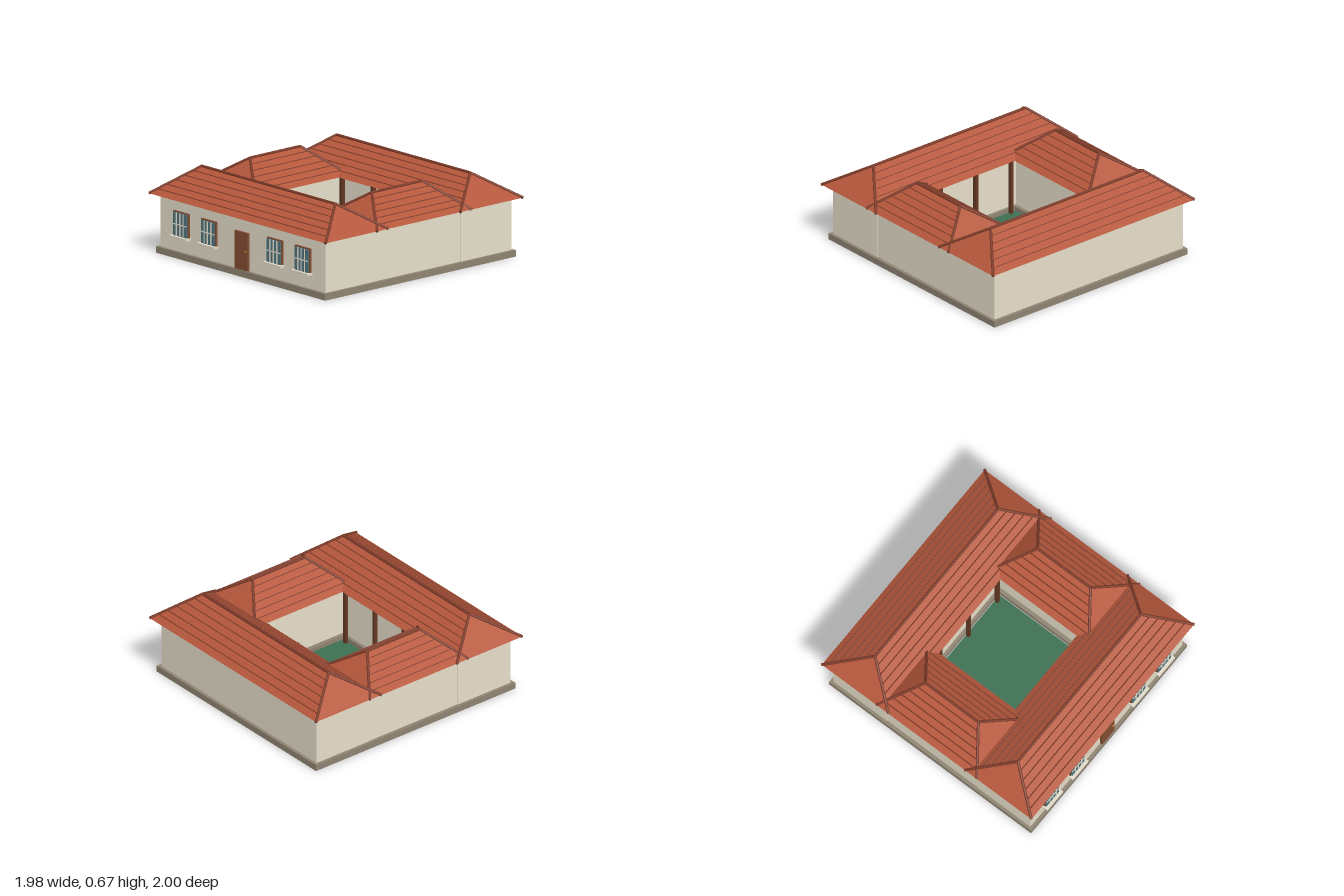
import * as THREE from 'three';

const mat = (name, color) => {
  const m = new THREE.MeshStandardMaterial({ color });
  m.name = name;
  return m;
};

export function createModel() {
  const M = {
    wall: mat('plaster', 0xe8e0cc),
    base: mat('stone', 0x8f8472),
    tile: mat('roof tile', 0xb5573b),
    trim: mat('dark roof trim', 0x7c3a28),
    wood: mat('wood', 0x834e31),
    post: mat('dark wood', 0x633822),
    glass: mat('glass', 0x50757f),
    sill: mat('pale sill', 0xe2dbca),
    grass: mat('grass', 0x3d7053),
    knob: mat('brass', 0xb8702c),
  };
  const model = new THREE.Group();
  model.name = 'courtyardHouse';

  const box = (parent, name, m, w, h, d, x, y, z) => {
    const mesh = new THREE.Mesh(new THREE.BoxGeometry(w, h, d), m);
    mesh.name = name;
    mesh.position.set(x, y, z);
    parent.add(mesh);
  };

  // Trim piece modelled along z, laid between two points and rolled about its axis
  const lay = (parent, name, geometry, a, b, roll = 0) => {
    const mesh = new THREE.Mesh(geometry, M.trim);
    mesh.name = name;
    mesh.position.copy(a).add(b).multiplyScalar(0.5);
    mesh.lookAt(b);
    mesh.rotateZ(roll);
    parent.add(mesh);
  };
  const cap = (parent, name, a, b) =>
    lay(parent, name, new THREE.CylinderGeometry(0.011, 0.011, a.distanceTo(b), 12).rotateX(Math.PI / 2), a, b);

  // Stone base with an opening for the courtyard
  const outline = new THREE.Shape();
  outline.moveTo(-0.938, -0.955).lineTo(0.938, -0.955).lineTo(0.938, 0.955).lineTo(-0.938, 0.955).closePath();
  const opening = new THREE.Path();
  opening.moveTo(-0.405, -0.4).lineTo(-0.405, 0.4).lineTo(0.405, 0.4).lineTo(0.405, -0.4).closePath();
  outline.holes.push(opening);
  const base = new THREE.Mesh(
    new THREE.ExtrudeGeometry(outline, { depth: 0.05, bevelEnabled: false }).rotateX(-Math.PI / 2), M.base);
  base.name = 'base';
  model.add(base);
  box(model, 'courtyardLawn', M.grass, 0.784, 0.012, 0.776, 0, 0.02, 0);

  // Wing walls, the side wings set back a hair so the joints show
  for (const s of [1, -1]) {
    box(model, s > 0 ? 'frontWingWalls' : 'backWingWalls', M.wall, 1.83, 0.41, 0.505, 0, 0.255, s * 0.6775);
    box(model, s > 0 ? 'leftWingWalls' : 'rightWingWalls', M.wall, 0.476, 0.41, 0.85, s * 0.673, 0.255, 0);
  }

  // Hipped roof running along local x, with battens and ridge caps
  const EAVE = 0.455, RIDGE = 0.656;
  const hipRoof = (name, halfLength, halfWidth, halfRidge) => {
    const g = new THREE.Group();
    g.name = name;
    const P = (x, y, z) => new THREE.Vector3(x, y, z);
    const a = P(-halfLength, EAVE, halfWidth), b = P(halfLength, EAVE, halfWidth);
    const c = P(halfLength, EAVE, -halfWidth), d = P(-halfLength, EAVE, -halfWidth);
    const l = P(-halfRidge, RIDGE, 0), r = P(halfRidge, RIDGE, 0);
    const faces = [a, b, r, a, r, l, c, d, l, c, l, r, b, c, r, d, a, l, a, d, c, a, c, b];
    const geo = new THREE.BufferGeometry().setFromPoints(faces);
    geo.computeVertexNormals();
    const tiles = new THREE.Mesh(geo, M.tile);
    tiles.name = 'roofTiles';
    g.add(tiles);

    // Battens across both long slopes
    const slope = Math.atan2(RIDGE - EAVE, halfWidth);
    for (const s of [1, -1]) {
      for (let i = 1; i < 6; i++) {
        const t = i / 6;
        const half = THREE.MathUtils.lerp(halfLength, halfRidge, t);
        const y = THREE.MathUtils.lerp(EAVE, RIDGE, t) + 0.001, z = s * halfWidth * (1 - t);
        lay(g, 'batten', new THREE.BoxGeometry(0.008, 0.006, half * 2), P(-half, y, z), P(half, y, z), -s * slope);
      }
    }
    // Round caps on the ridge and the four hips
    cap(g, 'ridgeCap', l, r);
    for (const [top, corner] of [[l, a], [l, d], [r, b], [r, c]]) cap(g, 'hipCap', top, corner);
    model.add(g);
    return g;
  };
  for (const s of [1, -1]) {
    hipRoof(s > 0 ? 'frontRoof' : 'backRoof', 0.98, 0.315, 0.74).position.z = s * 0.675;
    const side = hipRoof(s > 0 ? 'leftRoof' : 'rightRoof', 0.475, 0.305, 0.25);
    side.rotation.y = Math.PI / 2;
    side.position.x = s * 0.675;
  }

  // Courtyard posts under the front and back eaves
  for (const z of [-0.373, 0.373])
    for (const x of [-0.345, 0, 0.345])
      box(model, 'courtyardPost', M.post, 0.028, 0.434, 0.028, x, 0.24, z);

  // Front windows: frame board, glass standing proud of it, then the bars
  for (const x of [-0.675, -0.368, 0.363, 0.672]) {
    const w = new THREE.Group();
    w.name = 'window';
    w.position.set(x, 0.263, 0.93);
    box(w, 'frame', M.wood, 0.168, 0.195, 0.03, 0, 0, 0);
    box(w, 'glass', M.glass, 0.15, 0.178, 0.02, 0, 0, 0.014);
    for (const k of [-1, 0, 1]) box(w, 'windowBar', M.sill, 0.008, 0.178, 0.006, k * 0.038, 0, 0.026);
    box(w, 'crossBar', M.sill, 0.15, 0.008, 0.006, 0, 0, 0.0255);
    box(w, 'sill', M.sill, 0.19, 0.018, 0.048, 0, -0.098, 0.023);
    model.add(w);
  }

  // Front door
  box(model, 'door', M.wood, 0.145, 0.292, 0.025, -0.002, 0.197, 0.9375);
  const knob = new THREE.Mesh(new THREE.SphereGeometry(0.009, 12, 8), M.knob);
  knob.name = 'doorKnob';
  knob.position.set(0.05, 0.2, 0.953);
  model.add(knob);

  return model;
}
